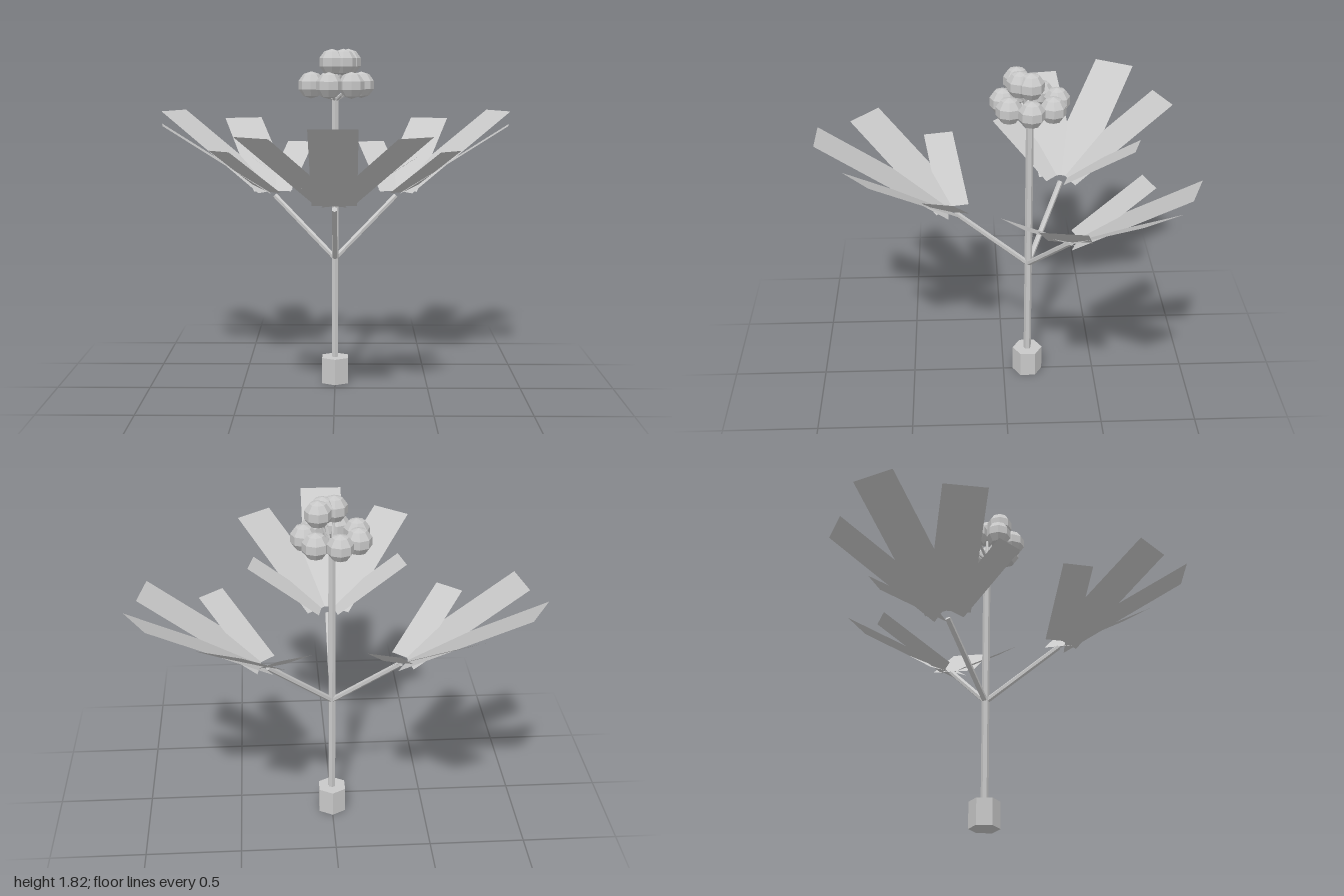
import * as THREE from 'three';

const STEM_Z = -0.133;

export function createModel() {
  const grey = new THREE.MeshStandardMaterial({ color: 0xc8c8c8, flatShading: true, side: THREE.DoubleSide });
  grey.name = 'plain grey';

  const model = new THREE.Group();
  model.name = 'plant';
  model.position.z = STEM_Z;

  const add = (parent, name, geometry) => {
    const mesh = new THREE.Mesh(geometry, grey);
    mesh.name = name;
    parent.add(mesh);
    return mesh;
  };

  // six-sided rod between two points
  const rod = (parent, name, a, b, radius) => {
    const dir = b.clone().sub(a);
    const mesh = add(parent, name, new THREE.CylinderGeometry(radius, radius, dir.length(), 6));
    mesh.position.copy(a).add(b).multiplyScalar(0.5);
    mesh.quaternion.setFromUnitVectors(new THREE.Vector3(0, 1, 0), dir.normalize());
    return mesh;
  };
  const V = (x, y, z) => new THREE.Vector3(x, y, z);

  // base and stem
  add(model, 'base', new THREE.CylinderGeometry(0.081, 0.081, 0.142, 6)).position.y = 0.071;
  rod(model, 'stem', V(0, 0.1, 0), V(0, 1.55, 0), 0.02);

  // three branches, each with a fan of five flat leaflets: [angle, width, length]
  const leaflets = [
    [0, 0.23, 0.79], [39, 0.224, 0.69], [-39, 0.224, 0.69], [78, 0.158, 0.457], [-78, 0.158, 0.457],
  ];
  const tilt = THREE.MathUtils.degToRad(33);
  for (let i = 0; i < 3; i++) {
    const branch = new THREE.Group();
    branch.name = 'branch';
    branch.rotation.y = i * Math.PI * 2 / 3;
    rod(branch, 'branchStalk', V(0, 0.69, 0), V(0, 1.007, 0.385), 0.015);
    const fan = new THREE.Group();
    fan.name = 'leaf';
    fan.position.set(0, 1.007, 0.385);
    for (const [angle, width, length] of leaflets) {
      const geometry = new THREE.PlaneGeometry(width, length);
      geometry.rotateX(-Math.PI / 2).translate(0, 0, 0.042 + length / 2).rotateX(-tilt);
      add(fan, 'leaflet', geometry).rotation.y = THREE.MathUtils.degToRad(angle);
    }
    branch.add(fan);
    model.add(branch);
  }

  // berry cluster: a ring of seven, then three more above on a smaller ring
  for (let i = 0; i < 10; i++) {
    const upper = i >= 7;
    const angle = (i / 7) * Math.PI * 2;
    const ring = upper ? 0.07 : 0.14;
    const centre = V(Math.cos(angle) * ring, upper ? 1.745 : 1.625, Math.sin(angle) * ring);
    add(model, 'berry', new THREE.SphereGeometry(0.07, 8, 5)).position.copy(centre);
    rod(model, 'berryStalk', V(0, 1.54, 0), centre, 0.008);
  }

  const root = new THREE.Group();
  root.name = 'berryPlant';
  root.add(model);
  return root;
}
